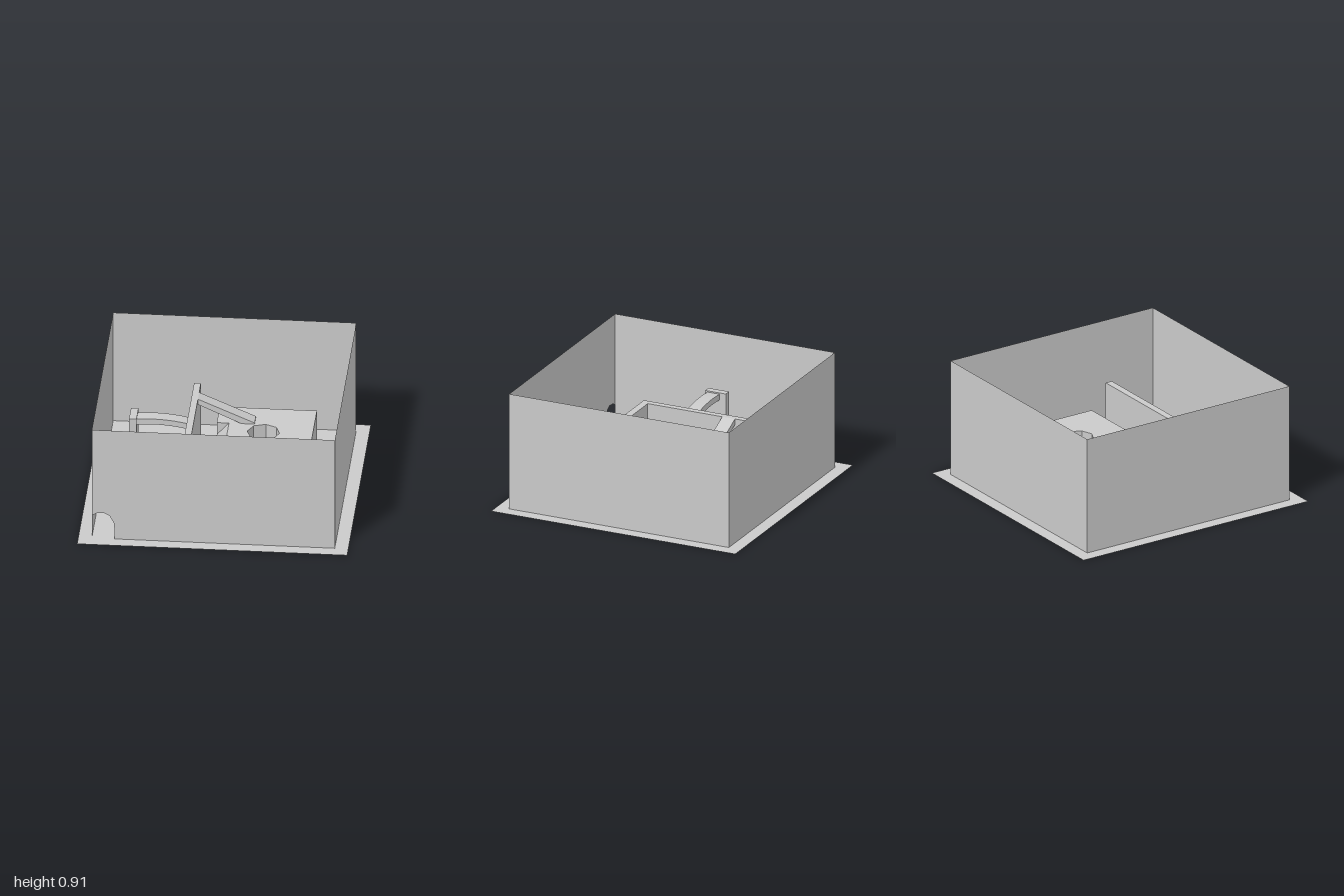
import * as THREE from 'three';

export function createModel() {
  const group = new THREE.Group();
  const grey = new THREE.MeshStandardMaterial({ color: 0xcacaca, side: THREE.DoubleSide });
  grey.name = 'light grey';

  const add = (name, geometry) => {
    const mesh = new THREE.Mesh(geometry, grey);
    mesh.name = name;
    group.add(mesh);
    return mesh;
  };
  const shapeOf = (points) => new THREE.Shape(points.map(([x, y]) => new THREE.Vector2(x, y)));

  // Upright block standing on the floor
  const block = (name, x0, x1, z0, z1, h) =>
    add(name, new THREE.BoxGeometry(x1 - x0, h, z1 - z0).translate((x0 + x1) / 2, h / 2, (z0 + z1) / 2));

  // Side profile (x, y) drawn out from z0 to z1
  const profile = (name, points, z0, z1) =>
    add(name, new THREE.ExtrudeGeometry(shapeOf(points), { depth: z1 - z0, bevelEnabled: false }).translate(0, 0, z0));

  // Plan outline (x, z) raised to height h
  const plan = (name, points, h, hole) => {
    const shape = shapeOf(points.map(([x, z]) => [x, -z]));
    if (hole) shape.holes.push(new THREE.Path(hole.map(([x, z]) => new THREE.Vector2(x, -z))));
    return add(name, new THREE.ExtrudeGeometry(shape, { depth: h, bevelEnabled: false }).rotateX(-Math.PI / 2));
  };

  // Floor sheet
  add('floor', new THREE.PlaneGeometry(2, 2).rotateX(-Math.PI / 2));

  // Thin outer walls, the front one with an arched doorway in its corner
  const W = 0.9, H = 0.91;
  add('frontWall', new THREE.ShapeGeometry(shapeOf([
    [-W, 0.19], [-0.865, 0.21], [-0.81, 0.215], [-0.77, 0.195], [-0.735, 0.13], [-0.73, 0],
    [W, 0], [W, H], [-W, H],
  ])).translate(0, 0, W));
  const wall = () => new THREE.PlaneGeometry(2 * W, H).translate(0, H / 2, W);
  add('leftWall', wall().rotateY(Math.PI / 2));
  add('backWall', wall().rotateY(Math.PI));
  add('rightWall', wall().rotateY(-Math.PI / 2));

  // L-shaped inner wall and the separate pier
  plan('innerWall', [
    [-0.27, -0.55], [-0.22, -0.55], [-0.22, 0.305], [0.64, 0.305], [0.64, 0.36], [-0.27, 0.36],
  ], 0.54);
  block('pier', -0.7, -0.645, -0.13, 0.04, 0.54);

  // Arched bridge between pier and inner wall
  const top = [], under = [];
  for (let i = 0; i <= 8; i++) {
    const t = i / 8, x = -0.645 + 0.375 * t;
    const y = 0.53 + 0.04 * t - 0.06 * t * t;
    top.push([x, y]);
    under.unshift([x, y - 0.045]);
  }
  profile('bridge', [...top, ...under], -0.08, 0.02);

  // Platform with an eight-sided hole
  const hole = [];
  for (let i = 0; i < 8; i++) {
    const a = (i + 0.08) * Math.PI / 4;
    hole.push([0.275 + 0.12 * Math.cos(a), -0.19 + 0.12 * Math.sin(a)]);
  }
  plan('platform', [
    [-0.08, -0.55], [0.64, -0.55], [0.64, 0.18], [0.01, 0.18], [0.01, -0.305], [-0.08, -0.305],
  ], 0.35, hole);

  // Sloped edge of the platform
  profile('platformSlope', [[-0.08, 0], [0.01, 0], [0.01, 0.35], [-0.08, 0.25]], -0.305, 0.18);

  // Ramp from the inner wall down to the platform
  profile('ramp', [[-0.22, 0.495], [0.1, 0.35], [0.2, 0.35], [0.2, 0.36], [-0.22, 0.54]], -0.41, -0.305);

  return group;
}
